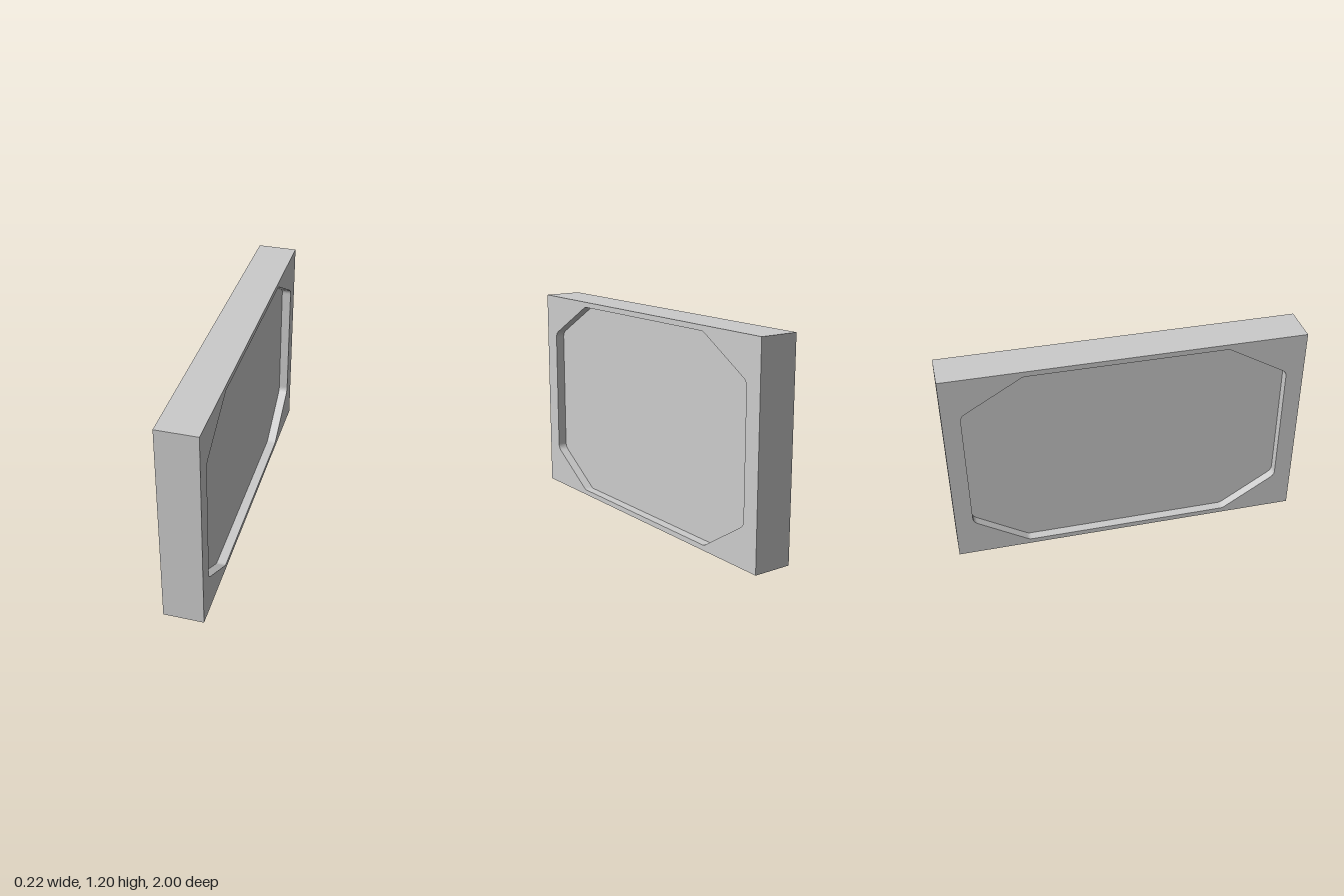
import * as THREE from 'three';

const material = new THREE.MeshStandardMaterial({ color: 0xcccccc });

// Rounded octagonal opening, drawn in (z, y); each corner is [start, corner, end]
function openingPath() {
  const quarter = [
    [[0.9, 0.257], [0.9, 0.23], [0.874, 0.214], [0.6, 0.038], [0.588, 0.03], [0.575, 0.03]],
    [[0.9, 0.943], [0.9, 0.97], [0.874, 0.985], [0.58, 1.157], [0.56, 1.17], [0.55, 1.17]],
  ];
  const [low, high] = quarter;
  const flip = (points) => points.map(([z, y]) => [-z, y]);
  const loop = [
    ...low.slice().reverse(), ...high,
    ...flip(high).reverse(), ...flip(low),
  ];
  const path = new THREE.Path();
  path.moveTo(...loop[0]);
  for (let i = 0; i < loop.length; i += 3) {
    if (i) path.lineTo(...loop[i]);
    path.quadraticCurveTo(...loop[i + 1], ...loop[i + 2]);
  }
  path.closePath();
  return path;
}

// Rectangular cover plate with the octagonal opening, extruded towards -x
function coverGeometry() {
  const shape = new THREE.Shape([
    new THREE.Vector2(-1, 0), new THREE.Vector2(1, 0),
    new THREE.Vector2(1, 1.2), new THREE.Vector2(-1, 1.2),
  ]);
  shape.holes.push(openingPath());
  const geometry = new THREE.ExtrudeGeometry(shape, { depth: 0.052, bevelEnabled: false, curveSegments: 6 });
  return geometry.rotateY(-Math.PI / 2);
}

export function createModel() {
  const group = new THREE.Group();
  group.name = 'framedPanel';

  // Solid core panel
  const core = new THREE.Mesh(new THREE.BoxGeometry(0.12, 1.2, 2), material);
  core.name = 'corePanel';
  core.position.y = 0.6;
  group.add(core);

  // Cover frame on each broad side
  const geometry = coverGeometry();
  for (const [name, x] of [['leftFrame', 0.112], ['rightFrame', -0.06]]) {
    const frame = new THREE.Mesh(geometry, material);
    frame.name = name;
    frame.position.x = x;
    group.add(frame);
  }
  return group;
}
